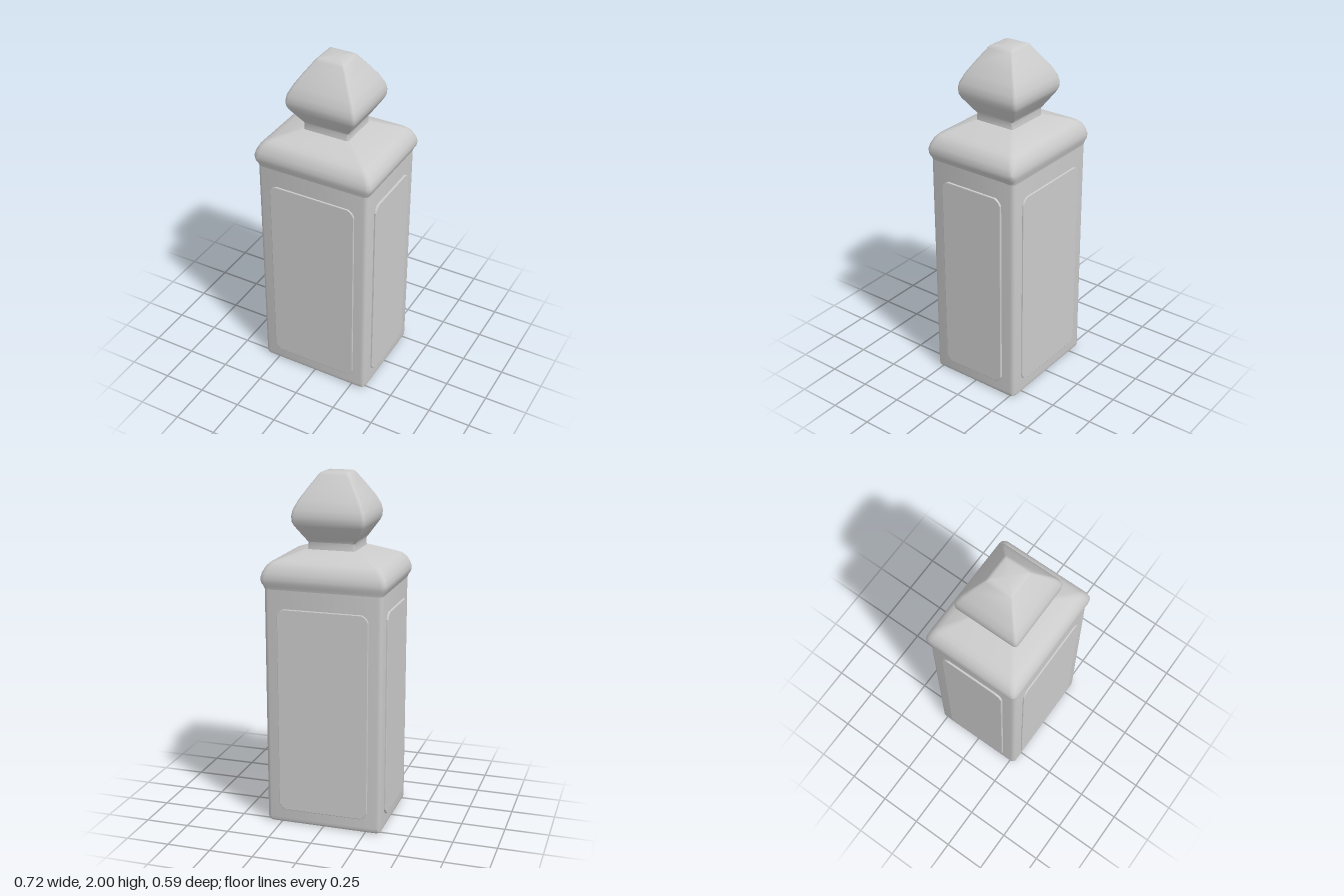
import * as THREE from 'three';
import { toCreasedNormals } from 'three/addons/utils/BufferGeometryUtils.js';

const material = new THREE.MeshStandardMaterial({ color: 0xcccccc });

// One level of a loft: rounded rectangle with half sizes hx, hz and corner radius r
function ring(hx, hz, y, r, steps = 3) {
  const points = [];
  const corners = [[1, 1], [-1, 1], [-1, -1], [1, -1]];
  corners.forEach(([sx, sz], q) => {
    for (let i = 0; i <= steps; i++) {
      const a = (q + i / steps) * Math.PI / 2;
      points.push([sx * (hx - r) + r * Math.cos(a), y, sz * (hz - r) + r * Math.sin(a)]);
    }
  });
  return points;
}

// Closed solid through levels of [hx, hz, y, r], bottom to top
function loft(name, levels) {
  const rings = levels.map((l) => ring(...l));
  const n = rings[0].length;
  const top = (rings.length - 1) * n;
  const positions = rings.flat(2);
  const bottomCentre = positions.length / 3;
  positions.push(0, levels[0][2], 0, 0, levels[levels.length - 1][2], 0);
  const index = [];
  for (let j = 0; j < n; j++) {
    const k = (j + 1) % n;
    for (let i = 0; i < rings.length - 1; i++) {
      const a = i * n + j, b = i * n + k;
      index.push(a, a + n, b, b, a + n, b + n);
    }
    index.push(bottomCentre, j, k, bottomCentre + 1, top + k, top + j);
  }
  const geometry = new THREE.BufferGeometry();
  geometry.setAttribute('position', new THREE.Float32BufferAttribute(positions, 3));
  geometry.setIndex(index);
  const mesh = new THREE.Mesh(toCreasedNormals(geometry, 0.7), material);
  mesh.name = name;
  return mesh;
}

// Thin raised panel with cut corners, facing +z before its group is turned
function panel(name, halfWidth, face, turn) {
  const y0 = 0.08, y1 = 1.27, c = 0.035, bevel = 0.004;
  const w = halfWidth - bevel, b = y0 + bevel, t = y1 - bevel;
  const shape = new THREE.Shape();
  shape.moveTo(-w + c, b);
  shape.lineTo(w - c, b);
  shape.quadraticCurveTo(w - c * 0.3, b + c * 0.3, w, b + c);
  shape.lineTo(w, t - c);
  shape.quadraticCurveTo(w - c * 0.3, t - c * 0.3, w - c, t);
  shape.lineTo(-w + c, t);
  shape.quadraticCurveTo(-w + c * 0.3, t - c * 0.3, -w, t - c);
  shape.lineTo(-w, b + c);
  shape.quadraticCurveTo(-w + c * 0.3, b + c * 0.3, -w + c, b);
  const geometry = new THREE.ExtrudeGeometry(shape, {
    depth: 0.03, bevelEnabled: true, bevelSize: bevel, bevelThickness: bevel,
    bevelSegments: 2, curveSegments: 3,
  });
  geometry.translate(0, 0, face - 0.03 - bevel);
  const mesh = new THREE.Mesh(geometry, material);
  mesh.name = name;
  mesh.rotation.y = turn;
  return mesh;
}

export function createModel() {
  const model = new THREE.Group();
  model.name = 'gatePost';

  // Shaft with softened lower edge
  model.add(loft('shaft', [
    [0.328, 0.273, 0, 0.025],
    [0.336, 0.281, 0.01, 0.025],
    [0.338, 0.283, 0.03, 0.025],
    [0.338, 0.283, 1.40, 0.025],
  ]));

  // Raised panels on all four sides
  model.add(
    panel('frontPanel', 0.262, 0.291, 0),
    panel('leftPanel', 0.2, 0.349, Math.PI / 2),
    panel('backPanel', 0.262, 0.291, Math.PI),
    panel('rightPanel', 0.2, 0.349, -Math.PI / 2),
  );

  // Overhanging cap with a rounded rim and sloping shoulders
  model.add(loft('cap', [
    [0.338, 0.283, 1.375, 0.025],
    [0.345, 0.287, 1.393, 0.027],
    [0.357, 0.293, 1.41, 0.03],
    [0.361, 0.296, 1.435, 0.032],
    [0.354, 0.290, 1.465, 0.034],
    [0.336, 0.276, 1.498, 0.034],
    [0.312, 0.257, 1.52, 0.03],
    [0.280, 0.231, 1.533, 0.026],
    [0.145, 0.127, 1.58, 0.012],
  ]));

  // Neck and tapering finial
  model.add(loft('finial', [
    [0.138, 0.125, 1.56, 0.012],
    [0.134, 0.123, 1.59, 0.012],
    [0.134, 0.122, 1.62, 0.012],
    [0.150, 0.137, 1.642, 0.014],
    [0.198, 0.184, 1.715, 0.018],
    [0.208, 0.194, 1.738, 0.02],
    [0.210, 0.196, 1.768, 0.02],
    [0.203, 0.190, 1.803, 0.02],
    [0.178, 0.167, 1.853, 0.018],
    [0.142, 0.133, 1.908, 0.015],
    [0.089, 0.083, 1.984, 0.012],
    [0.080, 0.075, 1.995, 0.012],
    [0.068, 0.064, 2.0, 0.01],
  ]));

  return model;
}
